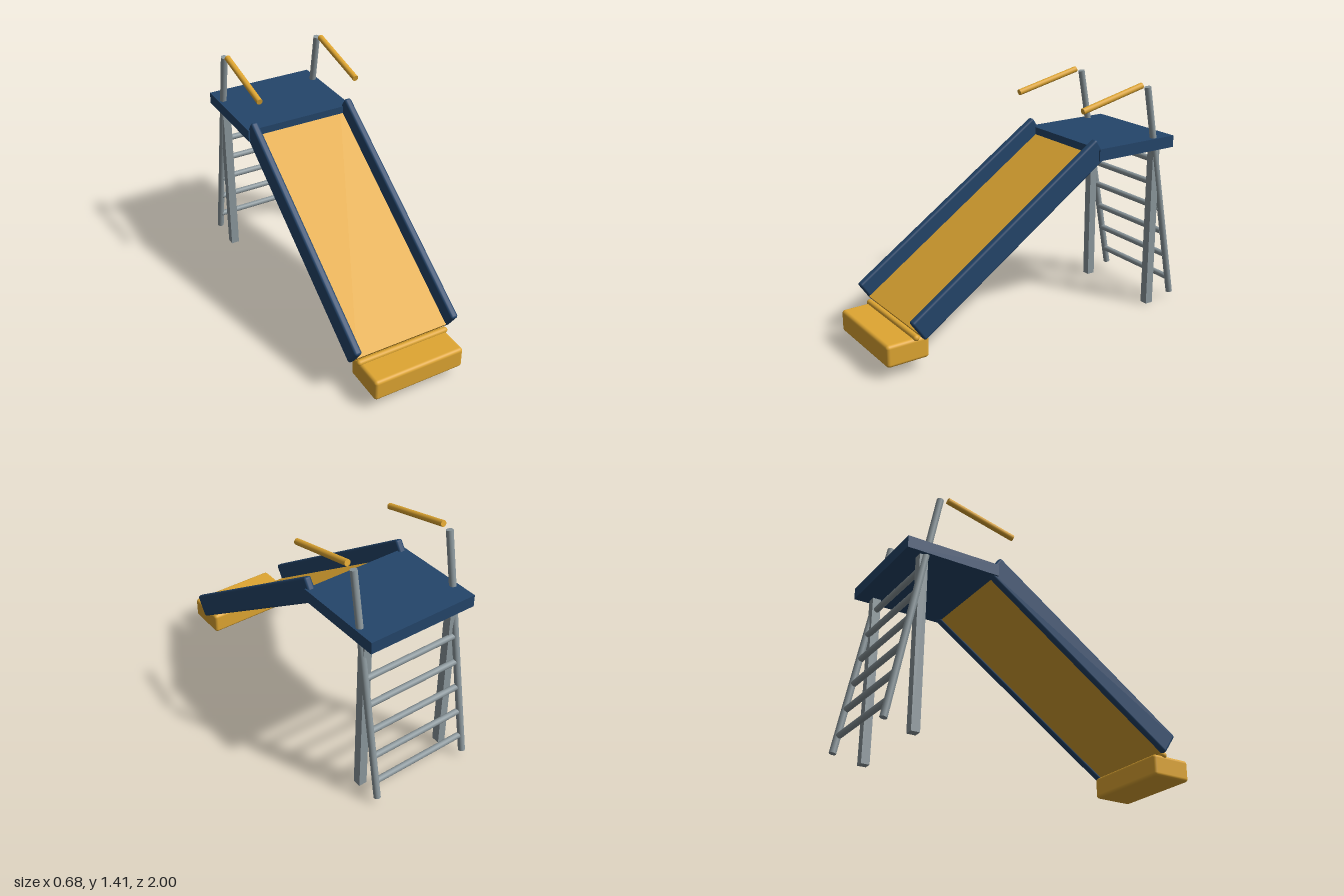
import * as THREE from 'three';
import { RoundedBoxGeometry } from 'three/addons/geometries/RoundedBoxGeometry.js';

const material = (name, color) => {
  const m = new THREE.MeshStandardMaterial({ color });
  m.name = name;
  return m;
};

export function createModel() {
  const yellow = material('yellow', 0xdfa632);
  const blue = material('blue', 0x24456a);
  const grey = material('grey', 0x8c989d);
  const model = new THREE.Group();
  model.name = 'playgroundSlide';

  const add = (name, geometry, mat, x, y, z, parent = model) => {
    const mesh = new THREE.Mesh(geometry, mat);
    mesh.name = name;
    mesh.position.set(x, y, z);
    parent.add(mesh);
    return mesh;
  };

  // Round bar between two points
  const bar = (name, a, b, radius, mat) => {
    const from = new THREE.Vector3(...a), to = new THREE.Vector3(...b);
    const dir = to.clone().sub(from);
    const mid = from.add(to).multiplyScalar(0.5);
    const mesh = add(name, new THREE.CylinderGeometry(radius, radius, dir.length(), 16), mat, mid.x, mid.y, mid.z);
    mesh.quaternion.setFromUnitVectors(new THREE.Vector3(0, 1, 0), dir.normalize());
  };

  // Platform
  add('platform', new THREE.BoxGeometry(0.68, 0.07, 0.56), blue, 0, 1.035, -0.634);

  // Sloping chute: bed between two raised sides
  const chute = new THREE.Group();
  chute.name = 'chute';
  chute.position.set(0, 0.662, 0.228);
  chute.rotation.x = 0.595;
  model.add(chute);
  add('bed', new THREE.BoxGeometry(0.58, 0.03, 1.46), yellow, 0, -0.04, 0, chute);

  // Rounded lip and landing block at the bottom
  const lip = add('lip', new THREE.CapsuleGeometry(0.018, 0.55, 6, 16), yellow, 0, 0.2, 0.822);
  lip.rotation.z = Math.PI / 2;
  add('landingBlock', new RoundedBoxGeometry(0.565, 0.13, 0.255, 4, 0.02), yellow, 0, 0.132, 0.872);

  for (const [side, s] of [['left', 1], ['right', -1]]) {
    add(side + 'ChuteSide', new RoundedBoxGeometry(0.044, 0.14, 1.46, 4, 0.014), blue, s * 0.309, 0, 0, chute);
    add(side + 'Post', new THREE.BoxGeometry(0.05, 1.0, 0.05), grey, s * 0.29, 0.5, -0.805);
    bar(side + 'LadderRail', [s * 0.309, 0.038, -0.977], [s * 0.309, 1.38, -0.72], 0.02, grey);
    bar(side + 'Handrail', [s * 0.309, 1.296, -0.247], [s * 0.309, 1.393, -0.673], 0.018, yellow);
  }

  // Ladder rungs follow the lean of the rails
  for (let i = 0; i < 6; i++) {
    const y = 0.14 + i * 0.158;
    const z = -0.973 + (y - 0.038) * 0.1915;
    bar('rung' + (i + 1), [-0.305, y, z], [0.305, y, z], 0.018, grey);
  }
  return model;
}
